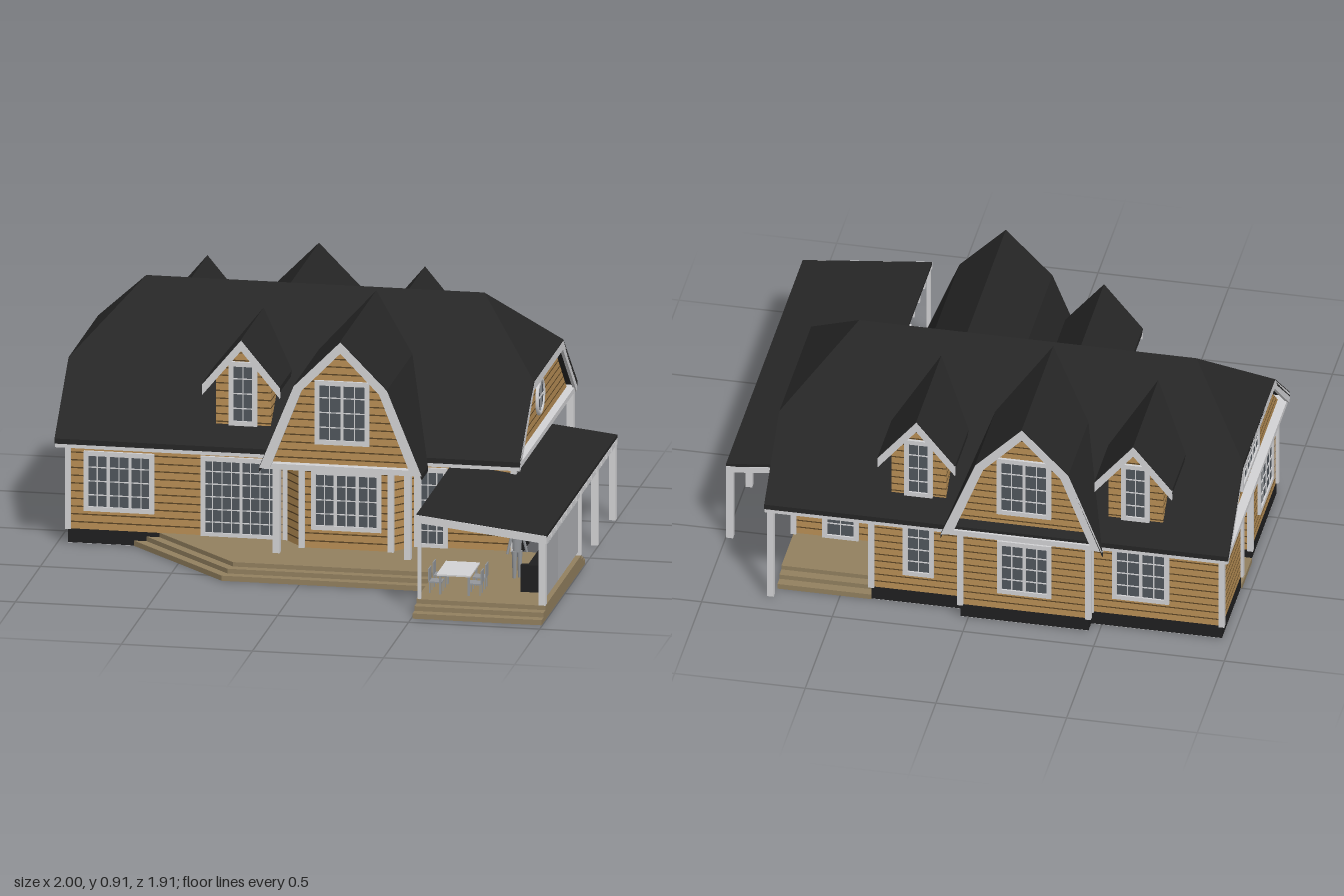
import * as THREE from 'three';
import { mergeGeometries } from 'three/addons/utils/BufferGeometryUtils.js';

const paint = (name, color) => Object.assign(new THREE.MeshStandardMaterial({ color }), { name });
const M = {
  siding: paint('timber siding', 0xb98f55), groove: paint('siding groove', 0x5e4727),
  trim: paint('white trim', 0xd3d3d5), roof: paint('black roof', 0x262626),
  base: paint('foundation', 0x1f1f20), deck: paint('deck boards', 0x92805f),
  glass: paint('window glass', 0x50565d), figure: paint('grey figure', 0x94979b),
  screen: paint('screen slats', 0xa9abae),
};
const RIDGE = 0.91, ZR = -0.355, PITCH = 0.852, EAVE = 0.42;
const roofY = d => RIDGE - PITCH * Math.abs(d);   // d = distance from the ridge
const roofD = y => (RIDGE - y) / PITCH;

function add(parent, name, geo, mat) {
  const m = new THREE.Mesh(geo, mat);
  m.name = name;
  parent.add(m);
  return m;
}
// box given by its min and max on each axis
function boxGeo(x0, x1, y0, y1, z0, z1) {
  return new THREE.BoxGeometry(x1 - x0, y1 - y0, z1 - z0).translate((x0 + x1) / 2, (y0 + y1) / 2, (z0 + z1) / 2);
}
const box = (p, name, mat, ...b) => add(p, name, boxGeo(...b), mat);
// convex polygon swept along an offset
function prism(pts, off) {
  let a = pts.map(p => new THREE.Vector3(...p));
  const o = new THREE.Vector3(...off);
  const n = a[1].clone().sub(a[0]).cross(a[2].clone().sub(a[0]));
  if (n.dot(o) > 0) a.reverse();
  const b = a.map(p => p.clone().add(o)), v = [], k = a.length;
  for (let i = 1; i < k - 1; i++) v.push(a[0], a[i], a[i + 1], b[0], b[i + 1], b[i]);
  for (let i = 0; i < k; i++) {
    const j = (i + 1) % k;
    v.push(a[i], b[i], b[j], a[i], b[j], a[j]);
  }
  const g = new THREE.BufferGeometry().setFromPoints(v);
  g.computeVertexNormals();
  return g;
}
// floor plan of [x, z] points raised from y0 to y1
function slab(plan, y0, y1) {
  const s = new THREE.Shape(plan.map(([x, z]) => new THREE.Vector2(x, -z)));
  return new THREE.ExtrudeGeometry(s, { depth: y1 - y0, bevelEnabled: false }).rotateX(-Math.PI / 2).translate(0, y0, 0);
}
// part of a convex [u, y] polygon on one side of a height
function clip(poly, y, sign) {
  const out = [];
  poly.forEach((p, i) => {
    const q = poly[(i + 1) % poly.length], a = (p[1] - y) * sign, b = (q[1] - y) * sign;
    if (a >= 0) out.push(p);
    if (a * b < 0) out.push([p[0] + (q[0] - p[0]) * a / (a - b), y]);
  });
  return out;
}
// alternating boards and grooves between two heights
function courses(parent, name, y0, y1, make) {
  const boards = [], gaps = [];
  for (let y = y0; y < y1 - 0.002; y += 0.03) {
    boards.push(make(y, Math.min(y + 0.025, y1)));
    if (y + 0.025 < y1) gaps.push(make(y + 0.025, Math.min(y + 0.03, y1)));
  }
  const ok = l => mergeGeometries(l.filter(Boolean));
  add(parent, name + 'Boards', ok(boards), M.siding);
  add(parent, name + 'Grooves', ok(gaps), M.groove);
}
function gableWall(parent, name, poly, to3d, off) {
  const ys = poly.map(p => p[1]);
  courses(parent, name, Math.min(...ys), Math.max(...ys), (a, b) => {
    const c = clip(clip(poly, a, 1), b, -1);
    return c.length > 2 ? prism(c.map(to3d), off) : null;
  });
}
// trim band between an outer and an inner line of equal length
function band(parent, name, outer, inner, to3d, off) {
  const g = [];
  for (let i = 0; i < outer.length - 1; i++)
    g.push(prism([outer[i], outer[i + 1], inner[i + 1], inner[i]].map(to3d), off));
  add(parent, name, mergeGeometries(g), M.trim);
}
// window with its face towards local +z
function win(parent, name, x, y, z, w, h, cols, rows, turn = 0, sash = 2) {
  const g = new THREE.Group(), bars = [], f = 0.018;
  g.name = name;
  box(g, name + 'Glass', M.glass, -w / 2, w / 2, -h / 2, h / 2, -0.003, 0.004);
  for (const s of [-1, 1]) {
    bars.push(boxGeo(s * w / 2 - f / 2, s * w / 2 + f / 2, -h / 2 - f / 2, h / 2 + f / 2, -0.004, 0.011));
    bars.push(boxGeo(-w / 2, w / 2, s * h / 2 - f / 2, s * h / 2 + f / 2, -0.004, 0.011));
  }
  for (let i = 1; i < cols; i++) {
    const t = i % sash ? 0.002 : 0.006, c = -w / 2 + w * i / cols;
    bars.push(boxGeo(c - t, c + t, -h / 2, h / 2, 0, 0.007));
  }
  for (let i = 1; i < rows; i++) {
    const c = -h / 2 + h * i / rows;
    bars.push(boxGeo(-w / 2, w / 2, c - 0.002, c + 0.002, 0, 0.007));
  }
  add(g, name + 'Frame', mergeGeometries(bars), M.trim);
  g.position.set(x, y, z);
  g.rotation.y = turn;
  parent.add(g);
}
// cross roof; local z = 0 is the main ridge, profile runs from eave to apex
function crossRoof(parent, name, x, back, profile, inner, wall, zEnd, zWall, depth, window) {
  const g = new THREE.Group(), roofs = [];
  g.name = name;
  for (const s of [-1, 1]) {
    for (let i = 0; i < profile.length - 1; i++) {
      const [a, b] = [profile[i], profile[i + 1]];
      roofs.push(prism([[s * a[0], a[1], zEnd], [s * b[0], b[1], zEnd], [s * b[0], b[1], roofD(b[1])],
        [s * a[0], a[1], roofD(a[1])]], [0, -0.02, 0]));
    }
    band(g, name + 'Bargeboard', profile.map(([u, y]) => [s * u, y - 0.004]), inner.map(([u, y]) => [s * u, y]),
      ([u, y]) => [u, y, zEnd - 0.012], [0, 0, 0.014]);
  }
  add(g, name + 'Roof', mergeGeometries(roofs), M.roof);
  const full = [...wall.map(([u, y]) => [-u, y]), ...wall.slice(0, -1).reverse()];
  gableWall(g, name + 'Wall', full, ([u, y]) => [u, y, zWall], [0, 0, -depth]);
  win(g, name + 'Window', 0, window[1], zWall, window[0], window[2], window[3], 4);
  g.position.set(x, 0, ZR);
  g.rotation.y = back ? Math.PI : 0;
  parent.add(g);
}
function person(parent, x, y, z, turn) {
  const g = new THREE.Group();
  g.name = 'person';
  add(g, 'head', new THREE.SphereGeometry(0.014, 12, 8).translate(0, 0.193, 0), M.figure);
  add(g, 'torso', new THREE.CylinderGeometry(0.022, 0.016, 0.075, 10).scale(1, 1, 0.6).translate(0, 0.138, 0), M.figure);
  for (const s of [-1, 1]) {
    add(g, 'leg', new THREE.CylinderGeometry(0.011, 0.007, 0.105, 8).translate(s * 0.011, 0.052, 0), M.figure);
    add(g, 'arm', new THREE.CylinderGeometry(0.006, 0.005, 0.08, 8).rotateZ(s * 0.25).translate(s * 0.03, 0.135, 0), M.figure);
  }
  g.position.set(x, y, z);
  g.rotation.y = turn;
  parent.add(g);
}

export function createModel() {
  const root = new THREE.Group();
  root.name = 'house';

  // walls and foundation share one floor plan
  const plan = [[-0.96, 0.155], [-0.13, 0.155], [-0.05, 0.25], [0.29, 0.25], [0.37, 0.155], [0.74, 0.155], [0.74, -0.55],
    [0.38, -0.55], [0.38, -0.85], [0.03, -0.85], [0.03, -0.9], [-0.46, -0.9], [-0.46, -0.85], [-0.96, -0.85],
    [-0.96, -0.5], [-0.8, -0.5], [-0.8, -0.32], [-0.96, -0.32]];
  add(root, 'floorSlab', slab(plan, 0, 0.001), M.trim);
  add(root, 'foundation', slab(plan, 0.001, 0.055), M.base);
  courses(root, 'wall', 0.055, 0.386, (a, b) => slab(plan, a, b));
  for (const [x, z] of plan) box(root, 'cornerTrim', M.trim, x - 0.011, x + 0.011, 0.055, 0.387, z - 0.011, z + 0.011);

  // soffits, whose edges form the eave boards
  box(root, 'mainSoffit', M.trim, -0.995, 0.77, 0.385, 0.405, -0.925, 0.215);
  box(root, 'frontGableSoffit', M.trim, -0.18, 0.42, 0.386, 0.408, 0.1, 0.365);
  box(root, 'backGableSoffit', M.trim, -0.51, 0.08, 0.386, 0.408, -0.94, -0.8);
  for (const z of [0.214, -0.93]) box(root, 'eaveBoard', M.trim, -0.998, 0.773, 0.386, 0.414, z, z + 0.006);

  // main roof with clipped gable ends
  const dE = roofD(EAVE), dH = 0.295, yH = roofY(dH), slopes = [];
  for (const s of [-1, 1]) slopes.push(prism([[-1, EAVE, ZR + s * dE], [0.775, EAVE, ZR + s * dE], [0.775, yH, ZR + s * dH],
    [0.53, RIDGE, ZR], [-0.76, RIDGE, ZR], [-1, yH, ZR + s * dH]], [0, -0.02, 0]));
  for (const [x, r] of [[0.775, 0.53], [-1, -0.76]])
    slopes.push(prism([[x, yH, ZR - dH], [x, yH, ZR + dH], [r, RIDGE, ZR]], [0, -0.02, 0]));
  add(root, 'mainRoof', mergeGeometries(slopes), M.roof);
  for (const [name, xw, xe, s] of [['leftGable', 0.74, 0.775, 1], ['rightGable', -0.96, -1, -1]]) {
    gableWall(root, name, [[-0.54, 0.405], [0.54, 0.405], [0.29, 0.63], [-0.29, 0.63]],
      ([u, y]) => [xw, y, ZR + u], [-s * 0.03, 0, 0]);
    const line = [[-dE, EAVE], [-dH, yH], [dH, yH], [dE, EAVE]];
    band(root, name + 'Bargeboard', line.map(([u, y]) => [u, y - 0.004]), line.map(([u, y]) => [u * 0.975, y - 0.038]),
      ([u, y]) => [xe - s * 0.012, y, ZR + u], [s * 0.012, 0, 0]);
  }

  // barn-shaped cross gables and small dormers
  const barn = [[0.31, 0.395], [0.178, 0.72], [0, 0.9]], barnIn = [[0.268, 0.395], [0.148, 0.7], [0, 0.852]];
  const barnWall = [[0.285, 0.4], [0.162, 0.705], [0, 0.872]];
  crossRoof(root, 'frontGable', 0.12, false, barn, barnIn, barnWall, 0.73, 0.69, 0.04, [0.19, 0.61, 0.23, 4]);
  crossRoof(root, 'backGable', -0.215, true, barn, barnIn, barnWall, 0.595, 0.55, 0.04, [0.19, 0.61, 0.23, 4]);
  for (const [x, back, d] of [[-0.295, false, 0], [-0.63, true, 0.012], [0.2, true, 0.012]])
    crossRoof(root, 'dormer', x, back, [[0.148, 0.655 + d], [0, 0.833 + d]], [[0.148, 0.61 + d], [0, 0.788 + d]],
      [[0.105, 0.47], [0.105, 0.68 + d], [0, 0.807 + d]], 0.54, 0.495, 0.3, [0.09, 0.61, 0.23, 2]);

  // windows and doors: name, x, y, z, width, height, columns, rows, turn
  const PI = Math.PI;
  for (const w of [
    ['frontWindow', -0.765, 0.245, 0.155, 0.25, 0.215, 6, 4], ['patioDoor', -0.3, 0.208, 0.155, 0.29, 0.295, 8, 6, 0, 4],
    ['bayWindow', 0.12, 0.245, 0.25, 0.25, 0.215, 6, 4], ['frontDoor', 0.43, 0.208, 0.155, 0.1, 0.295, 3, 5, 0, 9],
    ['smallWindow', 0.61, 0.24, 0.155, 0.11, 0.155, 3, 3, 0, 9],
    ['backWindow', -0.65, 0.245, -0.85, 0.2, 0.215, 4, 4, PI], ['backBayWindow', -0.215, 0.245, -0.9, 0.19, 0.215, 4, 4, PI],
    ['narrowBackWindow', 0.2, 0.245, -0.85, 0.1, 0.215, 2, 4, PI], ['porchDoor', 0.56, 0.208, -0.55, 0.12, 0.295, 2, 5, PI],
    ['sideWindow', -0.96, 0.245, -0.06, 0.24, 0.215, 4, 4, -PI / 2], ['sideGableWindow', -0.96, 0.52, ZR, 0.3, 0.14, 6, 3, -PI / 2],
    ['sideDoor', -0.8, 0.2, -0.41, 0.11, 0.28, 2, 4, -PI / 2]]) win(root, ...w);

  // round window
  const round = new THREE.Group();
  round.name = 'roundWindow';
  add(round, 'roundGlass', new THREE.CylinderGeometry(0.063, 0.063, 0.008, 32).rotateX(PI / 2), M.glass);
  add(round, 'roundFrame', new THREE.TorusGeometry(0.064, 0.01, 8, 32), M.trim);
  box(round, 'roundBar', M.trim, -0.06, 0.06, -0.003, 0.003, 0, 0.007);
  box(round, 'roundBar', M.trim, -0.003, 0.003, -0.06, 0.06, 0, 0.007);
  round.position.set(0.742, 0.522, -0.345);
  round.rotation.y = PI / 2;
  root.add(round);

  // decks and steps
  [[0.02, 0], [0.038, 0.035], [0.055, 0.07]].forEach(([top, d], i) => {
    const k = 2 - i;
    add(root, 'frontDeck', slab([[-0.715 + 1.414 * d, 0.15], [-0.295 + 0.414 * d, 0.57 - d], [0.505, 0.57 - d], [0.505, 0.15]], 0, top), M.deck);
    box(root, 'sideDeck', M.deck, 0.505, 0.998, 0, top, 0.155 - 0.037 * k, 0.873 + 0.038 * k);
    box(root, 'backPorchDeck', M.deck, 0.38, 0.74, -0.0005, top, -0.78 - 0.037 * k, -0.55);
    box(root, 'sideDoorStep', M.deck, -0.965 + 0.03 * i, -0.8, -0.0005, top, -0.5, -0.32);
  });

  // free-standing posts: x, z, bottom, top
  for (const [x, z, y0, y1] of [[-0.13, 0.335, 0.055, 0.39], [0.37, 0.335, 0.055, 0.39], [0.755, -0.9, 0, 0.39],
    [0.985, 0.86, 0.055, 0.32], [0.985, 0.155, 0.055, 0.32], [0.985, -0.185, 0, 0.32], [0.985, -0.54, 0, 0.32],
    [0.515, 0.86, 0.055, 0.37]]) {
    const r = x === 0.515 ? 0.007 : 0.013;
    box(root, 'post', M.trim, x - r, x + r, y0, y1, z - r, z + r);
  }

  // lean-to roof with rafters
  const leanY = x => 0.385 - (x - 0.505) * 0.115;
  const lean = (name, mat, x0, z0, z1, drop, h) => add(root, name, prism([[x0, leanY(x0) - drop, z0], [1, leanY(1) - drop, z0],
    [1, leanY(1) - drop, z1], [x0, leanY(x0) - drop, z1]], [0, -h, 0]), mat);
  lean('leanToRoof', M.roof, 0.505, 0.155, 0.872, 0, 0.012);
  lean('leanToRoof', M.roof, 0.74, -0.55, 0.155, 0, 0.012);
  lean('leanToFascia', M.trim, 0.505, 0.868, 0.876, 0.002, 0.03);
  for (let i = 0; i < 15; i++) {
    const z = -0.545 + i * 0.0995;
    lean('rafter', M.trim, z < 0.155 ? 0.74 : 0.505, z - 0.007, z + 0.007, 0.012, 0.025);
  }
  box(root, 'leanToBeam', M.trim, 0.975, 0.995, 0.285, 0.305, -0.55, 0.87);

  // slatted privacy screen
  const slats = [];
  for (let z = 0.18; z < 0.85; z += 0.02) slats.push(boxGeo(0.982, 0.988, 0.07, 0.27, z - 0.0065, z + 0.0065));
  for (const y of [0.085, 0.255]) slats.push(boxGeo(0.978, 0.982, y - 0.006, y + 0.006, 0.16, 0.86));
  add(root, 'privacyScreen', mergeGeometries(slats), M.screen);

  // table, chairs and sofa
  box(root, 'tableTop', M.trim, 0.57, 0.7, 0.132, 0.138, 0.62, 0.81);
  for (const x of [0.58, 0.69]) for (const z of [0.64, 0.79]) box(root, 'tableLeg', M.figure, x - 0.004, x + 0.004, 0.055, 0.132, z - 0.004, z + 0.004);
  for (const s of [-1, 1]) for (const z of [0.67, 0.76]) {
    const x = 0.635 + s * 0.075;
    box(root, 'chairSeat', M.figure, x - 0.025, x + 0.025, 0.096, 0.101, z - 0.025, z + 0.025);
    box(root, 'chairBack', M.figure, x + s * 0.025 - 0.002, x + s * 0.025 + 0.002, 0.1, 0.15, z - 0.025, z + 0.025);
    for (const a of [-0.021, 0.021]) for (const b of [-0.021, 0.021])
      box(root, 'chairLeg', M.figure, x + a - 0.002, x + a + 0.002, 0.055, 0.096, z + b - 0.002, z + b + 0.002);
  }
  box(root, 'sofaSeat', M.base, 0.87, 0.97, 0.055, 0.12, 0.31, 0.7);
  box(root, 'sofaBack', M.base, 0.95, 0.972, 0.12, 0.2, 0.31, 0.7);
  for (const z of [0.31, 0.68]) box(root, 'sofaArm', M.base, 0.87, 0.97, 0.12, 0.16, z, z + 0.02);

  person(root, 0.82, 0.055, 0.51, 0.6);
  person(root, 0.86, 0, -0.05, 1.2);
  return root;
}
